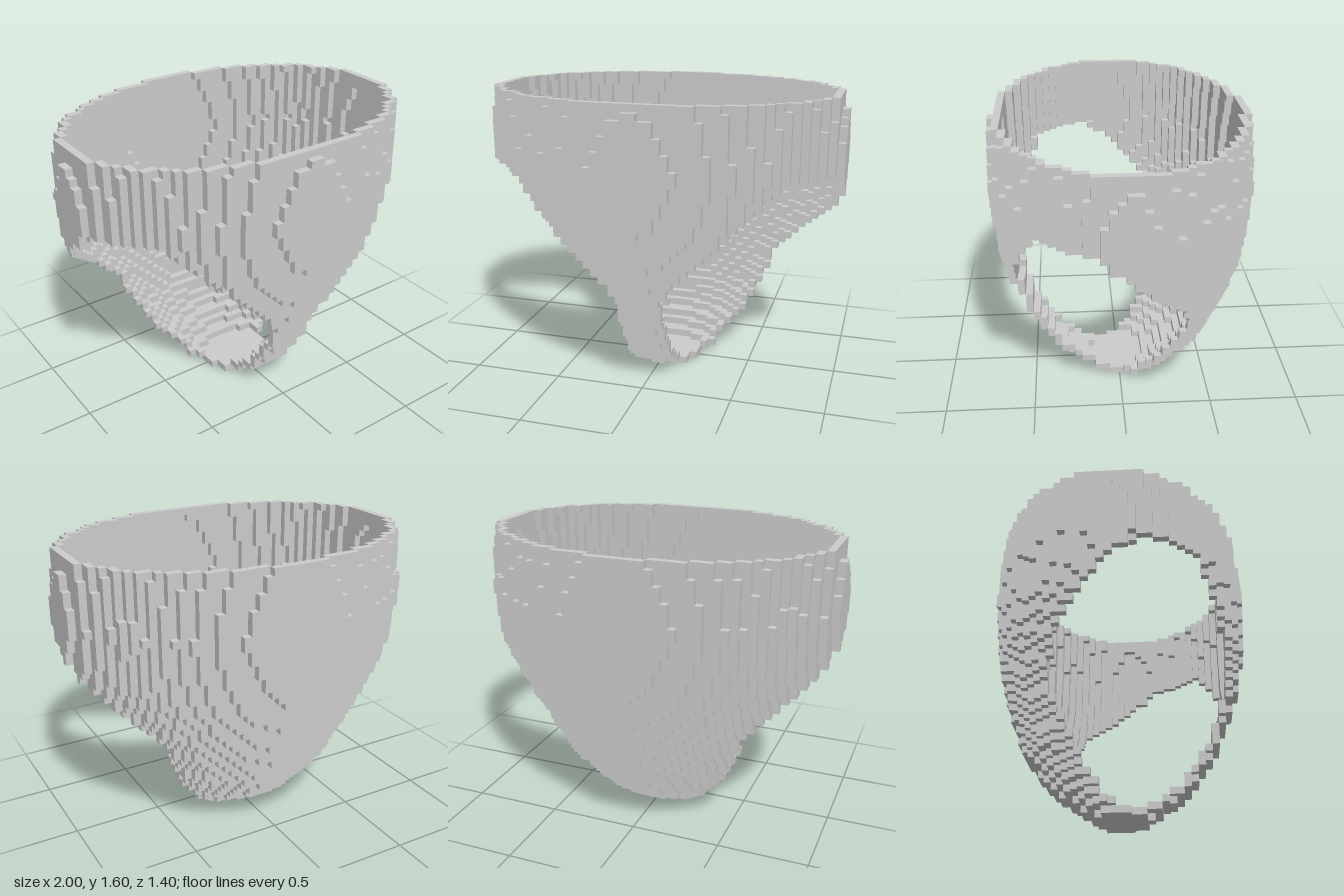
import * as THREE from 'three';

const S = 0.04;                 // block size
const NX = 50, NY = 40, NZ = 35;

// Piecewise-linear lookup through [input, value] pairs
function lookup(table, t) {
  if (t <= table[0][0]) return table[0][1];
  for (let i = 1; i < table.length; i++) {
    const [a, va] = table[i - 1], [b, vb] = table[i];
    if (t <= b) return va + (vb - va) * (t - a) / (b - a);
  }
  return table[table.length - 1][1];
}

// Bowl half-widths by height: sideways, to the front, to the back
const HALF_X = [[0, .18], [.06, .29], [.12, .36], [.24, .46], [.36, .56], [.52, .68], [.68, .78],
  [.8, .86], [.92, .94], [1.04, .98], [1.28, 1], [1.52, .98], [1.6, .965]];
const FRONT_Z = [[0, .13], [.06, .23], [.12, .32], [.2, .4], [.28, .44], [.36, .5], [.44, .54],
  [.56, .58], [.72, .64], [.92, .68], [1.24, .7], [1.56, .68], [1.6, .675]];
const BACK_Z = [[0, .13], [.08, .23], [.16, .36], [.24, .43], [.36, .53], [.44, .56],
  [.56, .6], [.68, .64], [.84, .68], [1.24, .717], [1.6, .69]];

// Edges of the two side openings
const OPENING_BACK = [[.06, -.06], [.12, -.15], [.2, -.24], [.28, -.3], [.36, -.34], [.6, -.34],
  [.76, -.3], [.88, -.21], [.96, -.13], [1.04, -.06], [1.12, .06], [1.2, .18]];   // z by height
const OPENING_FRONT = [[.5, .12], [.64, .17], [1.2, .73]];                        // x by height
const STRAP = [[-.34, .6], [-.02, .2], [.06, .18], [.12, .16], [.18, .12]];       // x by depth

const centre = (i, j, k) => [(i + .5 - NX / 2) * S, (j + .5) * S, (k + .5 - NZ / 2) * S];

function inBowl(i, j, k) {
  if (j < 0) return false;
  const [x, y, z] = centre(i, j, k);
  const a = x / lookup(HALF_X, y), b = z / lookup(z > 0 ? FRONT_Z : BACK_Z, y);
  return a * a + b * b <= 1;
}

function inOpening(i, j, k) {
  const [x, y, z] = centre(i, j, k);
  const w = Math.abs(x);
  return y < 1.2 && z > lookup(OPENING_BACK, y) &&
    w > lookup(OPENING_FRONT, y) && w > lookup(STRAP, z);
}

const STEPS = [0, 1, 2].flatMap(d => [1, -1].map(s => ({ d, s })));
const neighbour = (c, { d, s }) => c.map((v, n) => (n === d ? v + s : v));

// One-block-thick wall, open at the top and cut by the openings
function buildBlocks() {
  const blocks = new Map();
  for (let i = 0; i < NX; i++) for (let j = 0; j < NY; j++) for (let k = 0; k < NZ; k++) {
    const c = [i, j, k];
    if (!inBowl(...c) || inOpening(...c)) continue;
    if (STEPS.some(st => !inBowl(...neighbour(c, st)))) blocks.set(c.join(), c);
  }
  return blocks;
}

// Only the exposed block sides become faces
function blockGeometry(blocks) {
  const pos = [], nor = [];
  const corners = [[0, 0], [1, 0], [1, 1], [0, 0], [1, 1], [0, 1]];
  for (const c of blocks.values()) for (const st of STEPS) {
    if (blocks.has(neighbour(c, st).join())) continue;
    const { d, s } = st, u = (d + 1) % 3, v = (d + 2) % 3;
    for (const [p, q] of corners) {
      const g = [...c], n = [0, 0, 0];
      g[d] += s > 0 ? 1 : 0;
      g[u] += s > 0 ? p : q;
      g[v] += s > 0 ? q : p;
      n[d] = s;
      pos.push((g[0] - NX / 2) * S, g[1] * S, (g[2] - NZ / 2) * S);
      nor.push(...n);
    }
  }
  const geo = new THREE.BufferGeometry();
  geo.setAttribute('position', new THREE.Float32BufferAttribute(pos, 3));
  geo.setAttribute('normal', new THREE.Float32BufferAttribute(nor, 3));
  return geo;
}

export function createModel() {
  const group = new THREE.Group();
  group.name = 'blockBasket';
  const shell = new THREE.Mesh(blockGeometry(buildBlocks()),
    new THREE.MeshStandardMaterial({ color: 0xcccccc, flatShading: true }));
  shell.name = 'basketShell';
  group.add(shell);
  return group;
}
